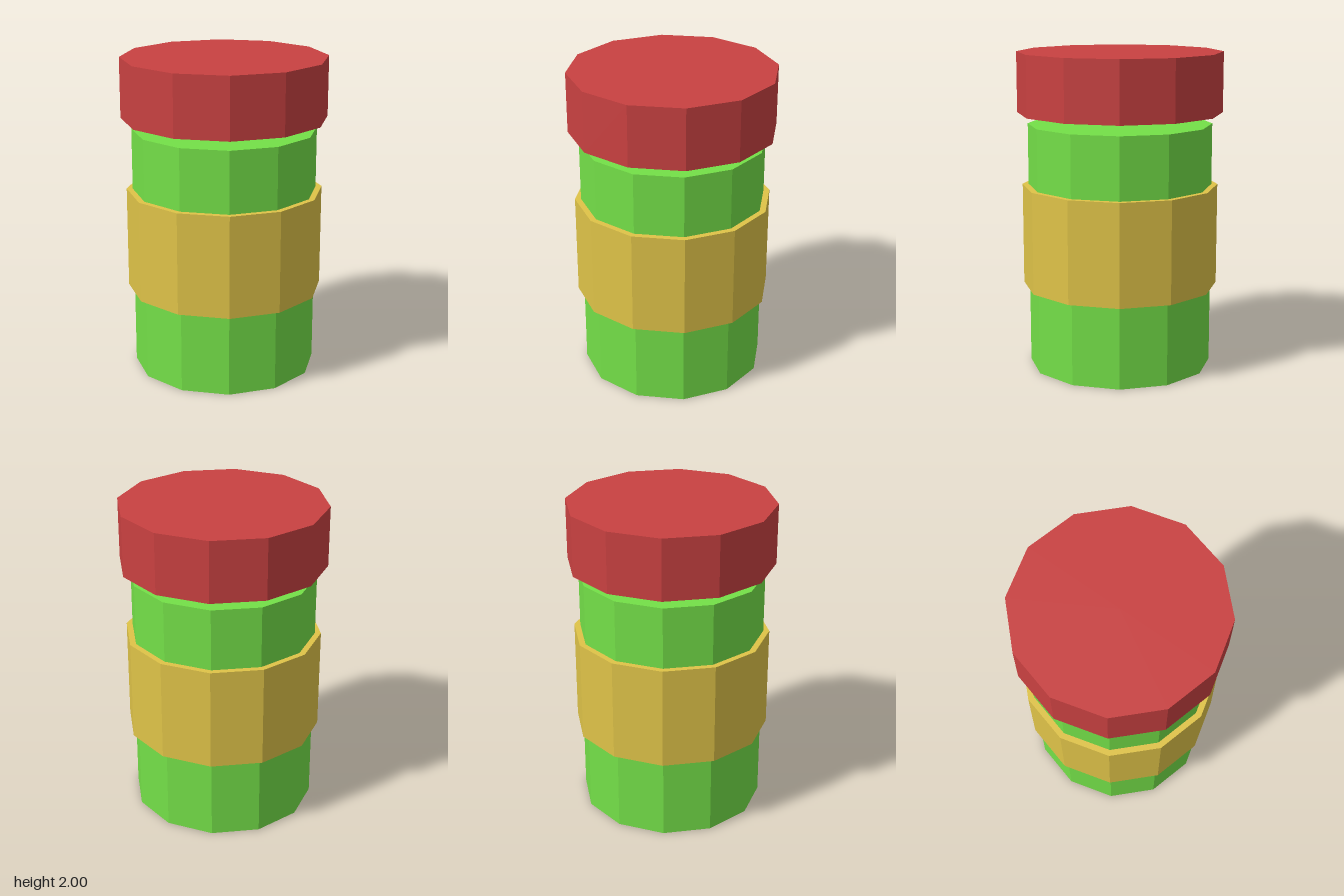
import * as THREE from 'three';

const SIDES = 12;

function paint(name, color) {
  const material = new THREE.MeshStandardMaterial({ color, flatShading: true });
  material.name = name;
  return material;
}

// Twelve-sided drum standing between two heights
function drum(name, radius, bottom, top, material) {
  const geometry = new THREE.CylinderGeometry(radius, radius, top - bottom, SIDES);
  const mesh = new THREE.Mesh(geometry, material);
  mesh.name = name;
  mesh.position.y = (bottom + top) / 2;
  return mesh;
}

export function createModel() {
  const model = new THREE.Group();
  model.name = 'canister';
  model.add(
    drum('body', 0.58, 0, 1.55, paint('green', 0x74e048)),
    // Wide band wrapped round the body
    drum('band', 0.618, 0.52, 1.163, paint('yellow', 0xdfc348)),
    // Lid floating just above the body
    drum('lid', 0.645, 1.62, 2, paint('red', 0xc94141)),
  );
  return model;
}
